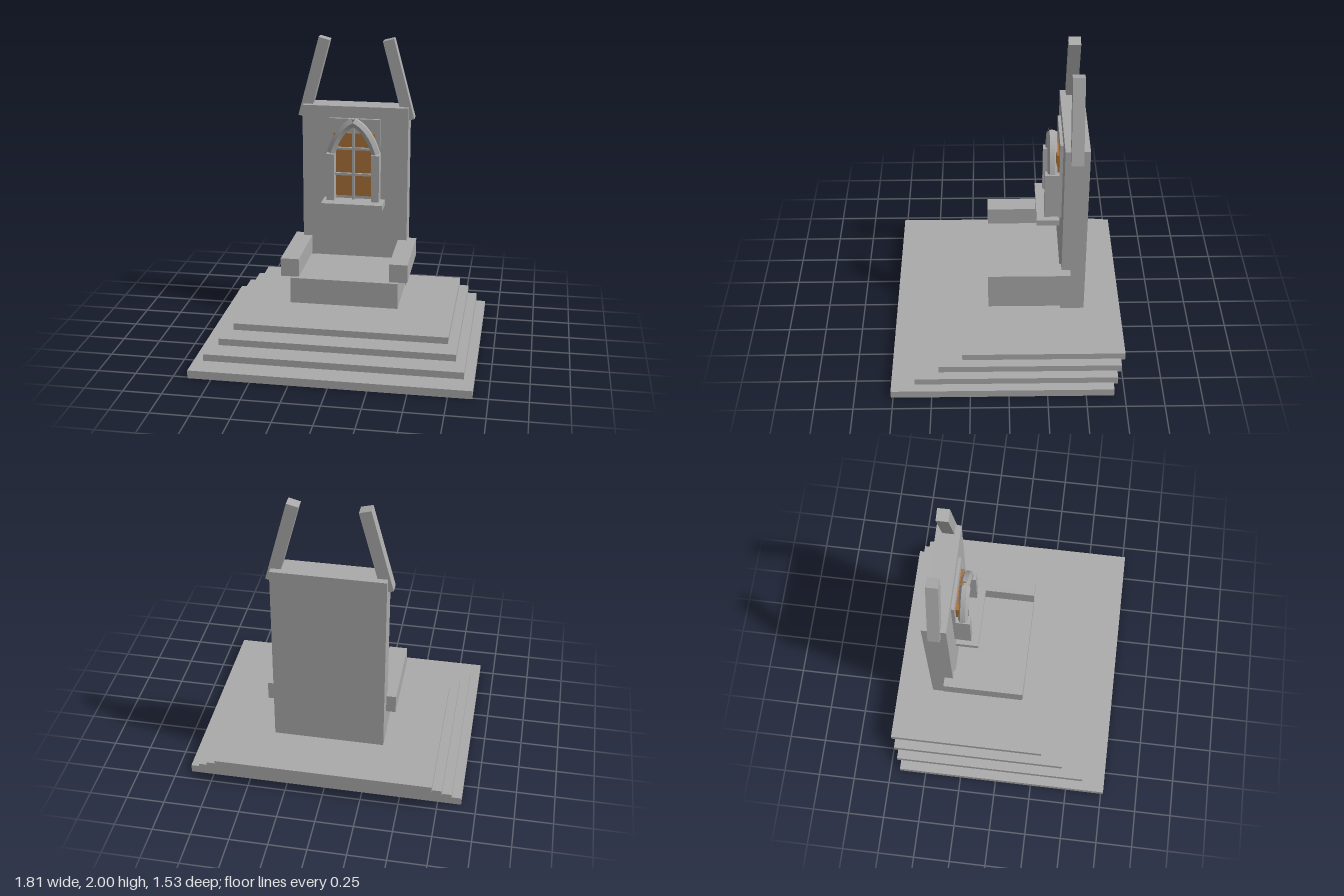
import * as THREE from 'three';

export function createModel() {
  const stone = new THREE.MeshStandardMaterial({ color: 0xaaaaaa });
  stone.name = 'stone grey';
  stone.flatShading = true;
  const amber = new THREE.MeshStandardMaterial({ color: 0xa8703a });
  amber.name = 'amber glass';

  const model = new THREE.Group();
  model.name = 'throne';

  function add(parent, name, geometry, material = stone) {
    const mesh = new THREE.Mesh(geometry, material);
    mesh.name = name;
    parent.add(mesh);
    return mesh;
  }

  // Box given by its limits on each axis
  function block(parent, name, [x0, x1], [y0, y1], [z0, z1], material) {
    const mesh = add(parent, name, new THREE.BoxGeometry(x1 - x0, y1 - y0, z1 - z0), material);
    mesh.position.set((x0 + x1) / 2, (y0 + y1) / 2, (z0 + z1) / 2);
    return mesh;
  }

  // Stepped dais: each tier is narrower and set further back
  const dais = new THREE.Group();
  dais.name = 'dais';
  model.add(dais);
  for (let i = 0; i < 4; i++) {
    const half = 0.903 - i * 0.063;
    const y = i * 0.0457;
    block(dais, 'step' + (i + 1), [-half, half], [y, y + 0.054],
      [-0.681 - i * 0.027, 0.764 - i * 0.154]);
  }

  // Seat and tall back
  block(model, 'seat', [-0.36, 0.36], [0.296, 0.472], [-0.36, 0.13]);
  block(model, 'backrest', [-0.361, 0.361], [0.276, 1.54], [-0.507, -0.351]);

  // Armrests and the leaning posts on top of the back
  for (const [side, s] of [['left', 1], ['right', -1]]) {
    const arm = block(model, side + 'Armrest', [-0.061, 0.061], [0.483, 0.607], [-0.408, 0.131]);
    arm.position.x = s * 0.362;
    const post = add(model, side + 'Post', new THREE.BoxGeometry(0.077, 0.558, 0.077));
    post.position.set(s * 0.288, 1.72, -0.427);
    post.rotation.z = s * 0.26;
  }

  // Pointed window on the front of the back
  const win = new THREE.Group();
  win.name = 'window';
  model.add(win);
  block(win, 'backPanel', [-0.176, 0.176], [0.9, 1.46], [-0.355, -0.331]);
  block(win, 'glass', [-0.14, 0.14], [0.926, 1.365], [-0.332, -0.31], amber);
  block(win, 'sill', [-0.209, 0.209], [0.858, 0.9], [-0.339, -0.19]);

  // Jambs and the six-sided arch ribs that meet at the apex
  const archZ = -0.286, archR = 0.032;
  for (const [side, s] of [['left', 1], ['right', -1]]) {
    const jamb = block(win, side + 'Jamb', [-0.027, 0.027], [0.908, 1.233], [-0.332, -0.239]);
    jamb.position.x = s * 0.153;
    const curve = new THREE.QuadraticBezierCurve3(
      new THREE.Vector3(s * 0.152, 1.235, archZ),
      new THREE.Vector3(s * 0.104, 1.398, archZ),
      new THREE.Vector3(0, 1.45, archZ));
    add(win, side + 'ArchRib', new THREE.TubeGeometry(curve, 12, archR, 6));
    // End caps facing out along the rib
    for (const t of [0, 1]) {
      const cap = add(win, side + 'ArchCap', new THREE.CircleGeometry(archR, 6, Math.PI / 2));
      const out = curve.getTangent(t).multiplyScalar(t ? 1 : -1);
      const zAxis = new THREE.Vector3(0, 0, 1);
      const across = new THREE.Vector3().crossVectors(zAxis, out);
      cap.quaternion.setFromRotationMatrix(new THREE.Matrix4().makeBasis(across, zAxis.negate(), out)
        .makeBasis(across.clone().negate(), new THREE.Vector3(0, 0, 1), out));
      cap.position.copy(curve.getPoint(t));
    }
  }

  // Glazing bars
  const bar = 0.008;
  block(win, 'mullion', [-bar, bar], [0.908, 1.465], [archZ - bar, archZ + bar]);
  for (const y of [1.085, 1.265]) {
    block(win, 'crossBar', [-0.13, 0.13], [y - bar, y + bar], [archZ - bar, archZ + bar]);
  }

  return model;
}
